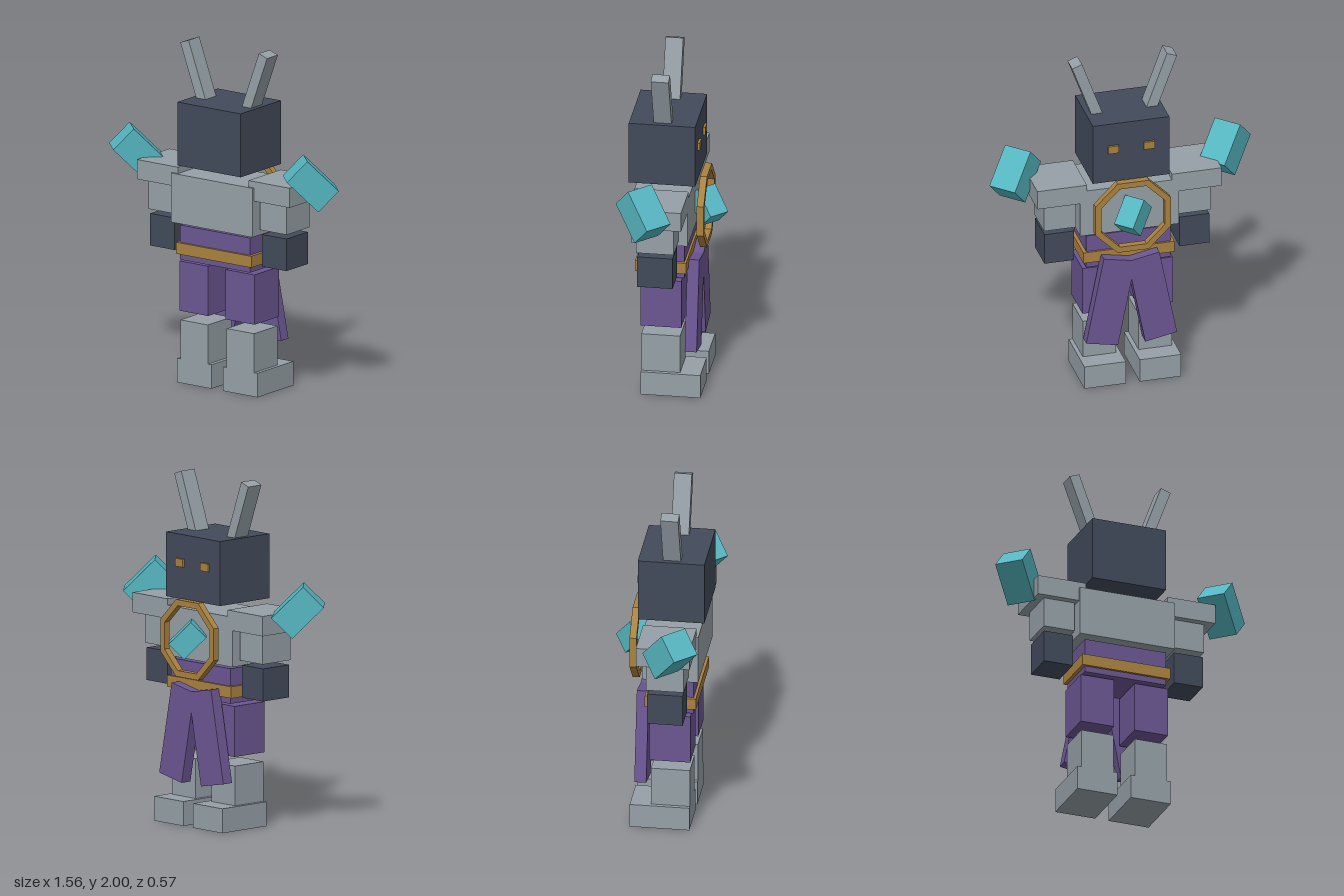
import * as THREE from 'three';

const mat = (name, color) => new THREE.MeshStandardMaterial({ name, color });

export function createModel() {
  const model = new THREE.Group();
  model.name = 'armouredFigure';
  const grey = mat('steelGrey', 0x95a0a6);
  const navy = mat('darkSlate', 0x424a5a);
  const purple = mat('purpleCloth', 0x6b5692);
  const gold = mat('gold', 0xaa8240);
  const teal = mat('tealCrystal', 0x55b5c0);

  // box given by its min and max on each axis
  const box = (name, material, [x0, x1], [y0, y1], [z0, z1]) => {
    const mesh = new THREE.Mesh(new THREE.BoxGeometry(x1 - x0, y1 - y0, z1 - z0), material);
    mesh.name = name;
    mesh.position.set((x0 + x1) / 2, (y0 + y1) / 2, (z0 + z1) / 2);
    model.add(mesh);
    return mesh;
  };
  // one box on each side of the body
  const pair = (name, material, [x0, x1], y, z) => {
    box('left' + name, material, [x0, x1], y, z);
    box('right' + name, material, [-x1, -x0], y, z);
  };

  // head and body
  box('head', navy, [-0.225, 0.225], [1.298, 1.67], [-0.124, 0.258]);
  box('chest', grey, [-0.29, 0.29], [0.95, 1.238], [-0.09, 0.232]);
  box('waist', purple, [-0.248, 0.248], [0.73, 0.933], [-0.066, 0.2]);
  box('belt', gold, [-0.268, 0.268], [0.765, 0.832], [-0.078, 0.215]);
  pair('Eye', gold, [0.073, 0.137], [1.484, 1.53], [-0.137, -0.12]);

  // arms
  pair('ShoulderPad', grey, [0.25, 0.542], [1.16, 1.275], [-0.09, 0.218]);
  pair('UpperArm', grey, [0.302, 0.49], [0.985, 1.18], [-0.04, 0.177]);
  pair('Fist', navy, [0.31, 0.485], [0.77, 0.958], [-0.033, 0.17]);

  // legs
  pair('Thigh', purple, [0.062, 0.266], [0.424, 0.716], [-0.05, 0.183]);
  pair('Shin', grey, [0.066, 0.262], [0.13, 0.37], [-0.043, 0.18]);
  pair('Boot', grey, [0.041, 0.285], [0, 0.141], [-0.162, 0.18]);

  // leaning horns and spread cape tails
  for (const [side, s] of [['left', 1], ['right', -1]]) {
    const horn = box(side + 'Horn', grey, [-0.031, 0.031], [-0.21, 0.21], [0.017, 0.119]);
    horn.position.x = s * 0.207;
    horn.position.y = 1.792;
    horn.rotation.z = -s * 0.35;

    const tail = box(side + 'CapeTail', purple, [-0.095, 0.095], [-0.271, 0.271], [-0.138, -0.07]);
    tail.position.x = s * 0.122;
    tail.position.y = 0.525;
    tail.rotation.z = s * 0.192;
  }

  // octagonal ring behind the crystal
  const octagon = (target, apothem) => {
    const r = apothem / Math.cos(Math.PI / 8);
    const points = [];
    for (let i = 0; i < 8; i++) {
      const a = (i + 0.5) * Math.PI / 4;
      points.push(new THREE.Vector2(r * Math.cos(a), r * Math.sin(a)));
    }
    return target.setFromPoints(points);
  };
  const ringShape = octagon(new THREE.Shape(), 0.222);
  ringShape.holes.push(octagon(new THREE.Path(), 0.187));
  const ring = new THREE.Mesh(
    new THREE.ExtrudeGeometry(ringShape, { depth: 0.04, bevelEnabled: false }), gold);
  ring.name = 'ring';
  ring.position.set(0, 1.08, -0.172);
  model.add(ring);

  // crystals, all tilted the same way
  const tilt = new THREE.Matrix4().makeBasis(
    new THREE.Vector3(Math.SQRT1_2, 0, Math.SQRT1_2),
    new THREE.Vector3(-0.5, Math.SQRT1_2, 0.5),
    new THREE.Vector3(-0.5, -Math.SQRT1_2, 0.5));
  const crystal = (name, width, length, x, y, z) => {
    const mesh = new THREE.Mesh(new THREE.BoxGeometry(width, length, width), teal);
    mesh.name = name;
    mesh.quaternion.setFromRotationMatrix(tilt);
    mesh.position.set(x, y, z);
    model.add(mesh);
  };
  crystal('leftShoulderCrystal', 0.167, 0.255, 0.617, 1.294, 0.116);
  crystal('rightShoulderCrystal', 0.167, 0.255, -0.617, 1.294, 0.116);
  crystal('ringCrystal', 0.124, 0.18, 0, 1.083, -0.165);

  return model;
}
